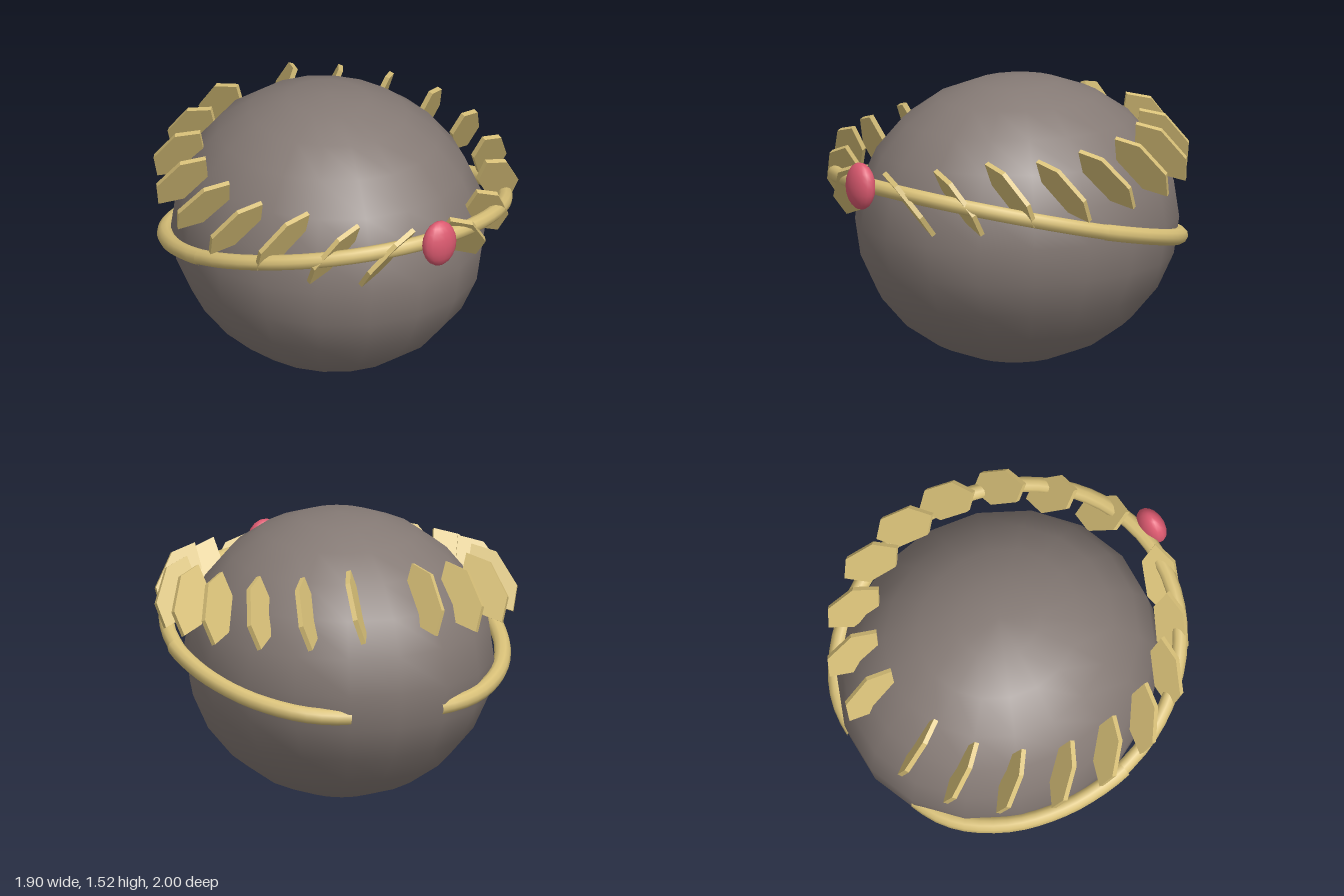
import * as THREE from 'three';

const mat = (name, color) => {
  const m = new THREE.MeshStandardMaterial({ color });
  m.name = name;
  return m;
};

// Centre, upward direction of the long axis, and yaw of the face in degrees, front to back
const LEAVES = [
  [[0.24, 1.00, 0.80], [-0.24, 0.30, 0.13], -25],
  [[0.485, 1.03, 0.66], [-0.20, 0.30, 0.13], -14],
  [[0.68, 1.08, 0.465], [-0.20, 0.27, 0.12], -3],
  [[0.80, 1.085, 0.205], [-0.19, 0.305, 0.19], 8],
  [[0.825, 1.115, -0.065], [-0.17, 0.305, 0.23], 18],
  [[0.78, 1.14, -0.335], [-0.13, 0.30, 0.23], 29],
  [[0.64, 1.165, -0.575], [-0.09, 0.30, 0.24], 40],
  [[0.44, 1.185, -0.75], [-0.06, 0.31, 0.26], 51],
  [[0.195, 1.22, -0.84], [-0.02, 0.29, 0.24], 62],
];

// Flat hexagonal leaf: long axis y, face normal z
function leafGeometry(halfLength, halfWidth, depth) {
  const shape = new THREE.Shape([
    [0, 1], [-1, 0.5], [-1, -0.5], [0, -1], [1, -0.5], [1, 0.5],
  ].map(([x, y]) => new THREE.Vector2(x * halfWidth, y * halfLength)));
  return new THREE.ExtrudeGeometry(shape, { depth, bevelEnabled: false })
    .translate(0, 0, -depth / 2);
}

export function createModel() {
  const group = new THREE.Group();
  const stone = mat('grey', 0x857a75);
  const gold = mat('gold', 0xd8c078);
  const red = mat('rose red', 0xdc5a70);
  const add = (name, geometry, material) => {
    const mesh = new THREE.Mesh(geometry, material);
    mesh.name = name;
    group.add(mesh);
    return mesh;
  };

  // Ellipsoid head form
  const head = add('head', new THREE.SphereGeometry(1, 18, 12).rotateY(Math.PI / 2), stone);
  head.scale.set(0.81, 0.762, 0.8825);
  head.position.set(0, 0.763, -0.1175);

  // Front half of the tilted band
  const front = [];
  for (let i = 0; i <= 16; i++) {
    const a = Math.PI * i / 16;
    const z = -0.05 + 0.92 * Math.sin(a);
    front.push(new THREE.Vector3(0.88 * Math.cos(a), 0.85 + 0.25 * z, z));
  }
  add('bandFront', new THREE.TubeGeometry(new THREE.CatmullRomCurve3(front), 32, 0.041, 10), gold);

  // Side arms run back and sink into the head
  for (const s of [1, -1]) {
    const pts = [[0.883, 0], [0.878, -0.12], [0.83, -0.35], [0.71, -0.6], [0.53, -0.79], [0.38, -0.87], [0.25, -0.9]]
      .map(([x, z]) => new THREE.Vector3(s * x, 0.85 + 0.232 * z, z));
    add(s > 0 ? 'leftBandArm' : 'rightBandArm',
      new THREE.TubeGeometry(new THREE.CatmullRomCurve3(pts), 16, 0.044, 10), gold);
  }

  // Leaves, mirrored on both sides
  const leafGeo = leafGeometry(0.212, 0.09, 0.026);
  for (const s of [1, -1]) {
    LEAVES.forEach(([p, d, yaw], i) => {
      const psi = THREE.MathUtils.degToRad(yaw);
      const sn = Math.sin(psi), cs = Math.cos(psi);
      // Pitch that makes the face normal square to the long axis
      const pitch = Math.atan((sn * d[0] + cs * d[2]) / d[1]);
      const n = new THREE.Vector3(-s * sn * Math.cos(pitch), Math.sin(pitch), -cs * Math.cos(pitch));
      const up = new THREE.Vector3(s * d[0], d[1], d[2]).normalize();
      const side = new THREE.Vector3().crossVectors(up, n);
      const leaf = add((s > 0 ? 'leftLeaf' : 'rightLeaf') + (i + 1), leafGeo, gold);
      leaf.quaternion.setFromRotationMatrix(new THREE.Matrix4().makeBasis(side, up, n));
      leaf.position.set(s * p[0], p[1], p[2]);
    });
  }

  // Oval gem on the front of the band
  const gem = add('gem', new THREE.SphereGeometry(1, 16, 10), red);
  gem.scale.set(0.1, 0.126, 0.063);
  gem.position.set(0, 1.075, 0.936);

  return group;
}
